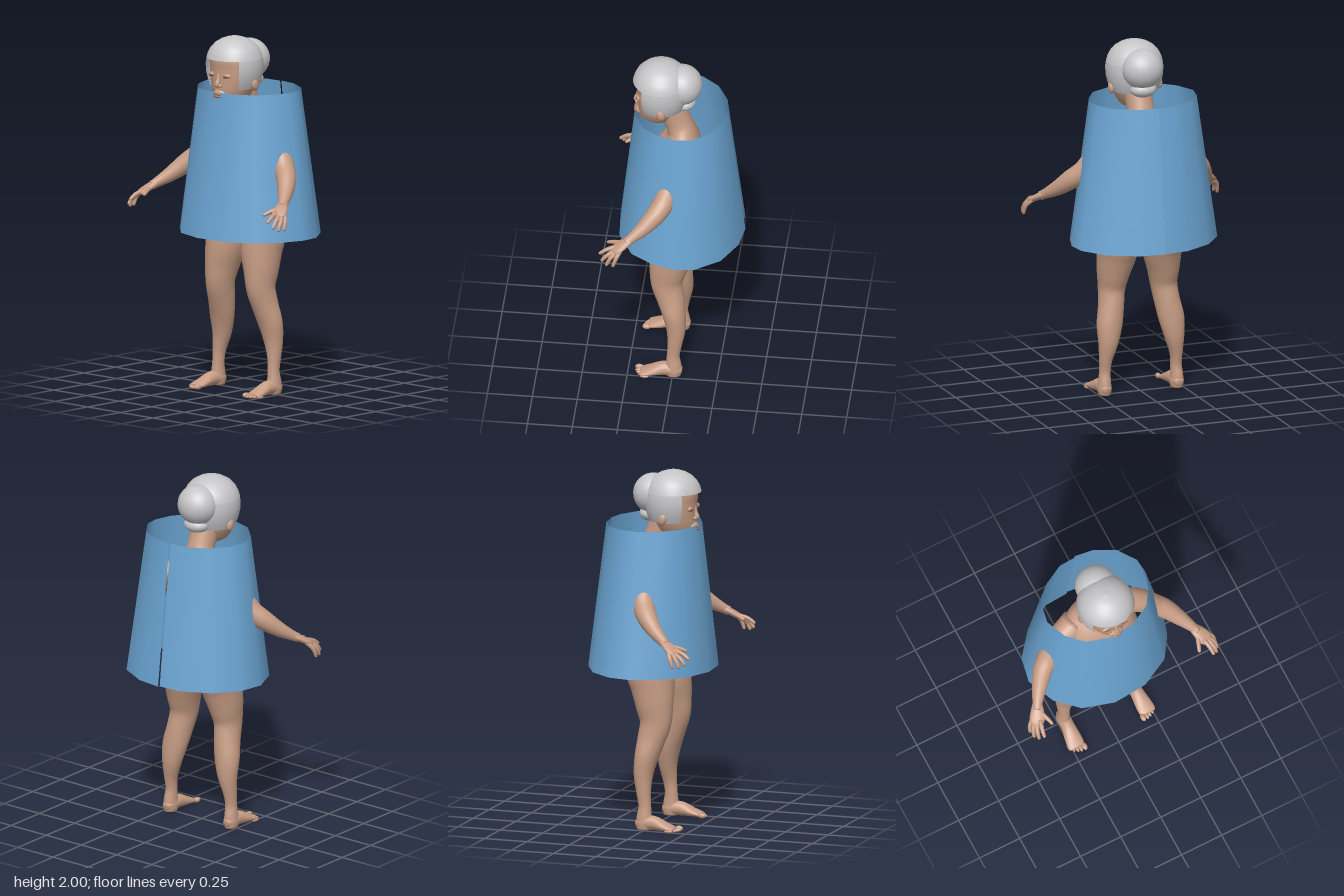
import * as THREE from 'three';

const mat = (name, color, side = THREE.FrontSide) => {
  const m = new THREE.MeshStandardMaterial({ color, side });
  m.name = name;
  return m;
};

// Smooth closed limb through points [x, y, z, halfWidth, halfDepth]; ref steers the section
function limb(points, ref, sides = 20, perSpan = 4) {
  const path = new THREE.CatmullRomCurve3(points.map(p => new THREE.Vector3(p[0], p[1], p[2])));
  const size = new THREE.CatmullRomCurve3(points.map(p => new THREE.Vector3(p[3], p[4] ?? p[3], 0)), false, 'catmullrom');
  const n = (points.length - 1) * perSpan;
  const pos = [], idx = [];
  for (let i = 0; i <= n; i++) {
    const c = path.getPoint(i / n), t = path.getTangent(i / n), r = size.getPoint(i / n);
    const s = new THREE.Vector3().crossVectors(t, ref).normalize();
    const d = new THREE.Vector3().crossVectors(s, t);
    for (let j = 0; j < sides; j++) {
      const a = j / sides * Math.PI * 2;
      const v = c.clone().addScaledVector(s, Math.cos(a) * Math.max(r.x, 0.001))
        .addScaledVector(d, Math.sin(a) * Math.max(r.y, 0.001));
      pos.push(v.x, v.y, v.z);
    }
  }
  const first = points[0], last = points[points.length - 1];
  pos.push(first[0], first[1], first[2], last[0], last[1], last[2]);
  const p0 = (n + 1) * sides, p1 = p0 + 1;
  for (let j = 0; j < sides; j++) {
    const k = (j + 1) % sides;
    idx.push(p0, j, k, p1, n * sides + k, n * sides + j);
    for (let i = 0; i < n; i++) {
      const a = i * sides + j, b = i * sides + k, c = a + sides, d = b + sides;
      idx.push(a, c, b, b, c, d);
    }
  }
  const g = new THREE.BufferGeometry();
  g.setAttribute('position', new THREE.Float32BufferAttribute(pos, 3));
  g.setIndex(idx);
  g.computeVertexNormals();
  return g;
}

export function createModel() {
  const skin = mat('skin', 0xc69c84);
  const hair = mat('grey hair', 0xc6c6c8, THREE.DoubleSide);
  const cloth = mat('blue cloth', 0x6ca6d4, THREE.DoubleSide);
  const lips = mat('lips', 0xa8705f);
  const eyes = mat('dark eyes', 0x5a4236);
  const Y = new THREE.Vector3(0, 1, 0), Z = new THREE.Vector3(0, 0, 1);

  const model = new THREE.Group();
  model.name = 'robedFigure';
  const add = (name, geo, material) => {
    const m = new THREE.Mesh(geo, material);
    m.name = name;
    model.add(m);
    return m;
  };
  const blob = (name, [x, y, z], [rx, ry, rz], material = skin) => {
    const m = add(name, new THREE.SphereGeometry(1, 24, 16), material);
    m.position.set(x, y, z);
    m.scale.set(rx, ry, rz);
    return m;
  };

  // Torso and neck
  add('torso', limb([
    [0, 0.86, 0, 0.13, 0.1], [0, 0.92, 0, 0.225, 0.135], [0, 1.05, 0.02, 0.23, 0.15],
    [0, 1.2, 0.03, 0.225, 0.15], [0, 1.35, 0.01, 0.21, 0.14], [0, 1.47, -0.03, 0.18, 0.105],
    [0, 1.54, -0.03, 0.115, 0.08], [0, 1.6, -0.01, 0.078, 0.075], [0, 1.72, 0.04, 0.078, 0.08],
  ], Z, 28), skin);

  // Limbs, mirrored left and right
  for (const s of [1, -1]) {
    const side = s > 0 ? 'left' : 'right';
    const flip = pts => pts.map(([x, ...rest]) => [x * s, ...rest]);

    add(side + 'Leg', limb(flip([
      [0.12, 0.98, 0, 0.1, 0.12], [0.13, 0.88, 0, 0.116, 0.136], [0.135, 0.8, 0.015, 0.11, 0.125],
      [0.148, 0.7, 0.03, 0.092, 0.108], [0.155, 0.6, 0.04, 0.075, 0.09], [0.167, 0.5, 0.018, 0.072, 0.078],
      [0.185, 0.4, -0.005, 0.073, 0.065], [0.197, 0.3, -0.017, 0.057, 0.053], [0.21, 0.2, -0.01, 0.037, 0.04],
      [0.212, 0.13, -0.003, 0.032, 0.036], [0.215, 0.07, -0.005, 0.036, 0.044],
      [0.215, 0.03, -0.005, 0.039, 0.047], [0.215, 0.003, -0.005, 0.034, 0.042],
    ]), Z), skin);
    blob(side + 'Buttock', [0.11 * s, 0.92, -0.05], [0.105, 0.11, 0.095]);
    blob(side + 'Breast', [0.11 * s, 1.27, 0.11], [0.09, 0.09, 0.07]);

    // Foot with five toes
    add(side + 'Foot', limb(flip([
      [0.215, 0.033, -0.052, 0.02, 0.02], [0.215, 0.038, -0.02, 0.038, 0.037], [0.215, 0.042, 0.05, 0.039, 0.04],
      [0.219, 0.026, 0.12, 0.047, 0.025], [0.221, 0.017, 0.16, 0.048, 0.016], [0.221, 0.014, 0.178, 0.042, 0.011],
    ]), Y), skin);
    for (let i = 0; i < 5; i++) {
      const r = i ? 0.0105 - i * 0.0005 : 0.015;
      blob(side + 'Toe', [(i ? 0.188 + i * 0.0185 : 0.183) * s, r, 0.188 - i * i * 0.0022], [r, r, 0.024]);
    }

    // Arm, palm and fingers
    add(side + 'Arm', limb(flip([
      [0.13, 1.44, -0.03, 0.075], [0.24, 1.385, 0, 0.068], [0.33, 1.285, 0.035, 0.06],
      [0.385, 1.235, 0.075, 0.055], [0.44, 1.175, 0.14, 0.042], [0.485, 1.13, 0.205, 0.028], [0.5, 1.115, 0.23, 0.026],
    ]), Y), skin);
    add(side + 'Palm', limb(flip([
      [0.483, 1.132, 0.2, 0.026, 0.022], [0.504, 1.11, 0.24, 0.038, 0.02],
      [0.522, 1.088, 0.275, 0.043, 0.017], [0.533, 1.074, 0.3, 0.03, 0.01],
    ]), Y), skin);
    const fingers = [
      [[0.495, 1.11, 0.24], [0.473, 1.095, 0.295], [0.459, 1.08, 0.333]],
      [[0.51, 1.09, 0.285], [0.523, 1.075, 0.335], [0.528, 1.05, 0.372]],
      [[0.53, 1.08, 0.285], [0.55, 1.052, 0.332], [0.553, 1.02, 0.358]],
      [[0.54, 1.08, 0.275], [0.566, 1.047, 0.31], [0.57, 1.005, 0.33]],
      [[0.54, 1.09, 0.255], [0.57, 1.052, 0.277], [0.577, 1.005, 0.293]],
    ];
    for (const [a, b, c] of fingers) {
      const tip = c.map((v, i) => v + (c[i] - b[i]) * 0.12);
      add(side + 'Finger', limb(flip([[...a, 0.014], [...b, 0.012], [...c, 0.009], [...tip, 0.003]]), Y, 10, 3), skin);
    }

    // Ear and eye
    blob(side + 'Ear', [0.143 * s, 1.742, 0.075], [0.017, 0.034, 0.024]).rotation.x = 0.25;
    blob(side + 'EyeLid', [0.055 * s, 1.795, 0.207], [0.028, 0.014, 0.012]);
    blob(side + 'Eye', [0.055 * s, 1.788, 0.215], [0.02, 0.005, 0.006], eyes);
    blob(side + 'Nostril', [0.016 * s, 1.737, 0.221], [0.012, 0.01, 0.011]);
  }

  // Head and face
  add('head', limb([
    [0, 1.615, 0.135, 0.035, 0.045], [0, 1.64, 0.13, 0.075, 0.085], [0, 1.69, 0.115, 0.108, 0.107],
    [0, 1.75, 0.1, 0.13, 0.122], [0, 1.82, 0.09, 0.138, 0.132], [0, 1.89, 0.088, 0.132, 0.135],
    [0, 1.95, 0.085, 0.09, 0.095],
  ], Z, 28), skin);
  add('nose', limb([
    [0, 1.805, 0.21, 0.011], [0, 1.77, 0.218, 0.012], [0, 1.742, 0.226, 0.015], [0, 1.73, 0.222, 0.008],
  ], Z, 14), skin);
  blob('mouthArea', [0, 1.685, 0.203], [0.045, 0.032, 0.029]);
  blob('upperLip', [0, 1.69, 0.228], [0.032, 0.006, 0.01], lips);
  blob('lowerLip', [0, 1.677, 0.229], [0.027, 0.007, 0.01], lips);

  // Hair: a full crown, then sides and back with the face left open
  const crown = [[0.157, 1.88], [0.15, 1.905], [0.135, 1.935], [0.108, 1.964], [0.075, 1.984], [0.04, 1.996], [0, 2]];
  const sides = [[0.132, 1.718], [0.148, 1.755], [0.159, 1.8], [0.162, 1.845], [0.157, 1.88]];
  const lathe = (pts, ...arc) => new THREE.LatheGeometry(pts.map(p => new THREE.Vector2(...p)), 40, ...arc);
  const open = 0.92;
  add('hairCrown', lathe(crown), hair).position.z = 0.087;
  add('hairSides', lathe(sides, open, Math.PI * 2 - 2 * open), hair).position.z = 0.087;
  blob('hairBun', [0, 1.86, -0.03], [0.117, 0.113, 0.113], hair);
  blob('hairNape', [0, 1.748, -0.045], [0.075, 0.045, 0.062], hair);

  // Robe: open flared tube with a seam at the back
  const hem = [
    [0.002, -0.382], [0.15, -0.362], [0.31, -0.278], [0.408, -0.14], [0.42, -0.03], [0.38, 0.1], [0.3, 0.22], [0.135, 0.305],
    [-0.06, 0.32], [-0.24, 0.265], [-0.36, 0.15], [-0.428, -0.01], [-0.4, -0.15], [-0.295, -0.28], [-0.135, -0.365], [-0.002, -0.373],
  ];
  const pos = [], idx = [];
  hem.forEach(([x, z], i) => {
    pos.push(x, 0.885, z, x * 0.73, 1.7, (z + 0.025) * 0.735 - 0.022);
    const a = i * 2;
    if (i < hem.length - 1) idx.push(a, a + 1, a + 2, a + 2, a + 1, a + 3);
  });
  const robe = new THREE.BufferGeometry();
  robe.setAttribute('position', new THREE.Float32BufferAttribute(pos, 3));
  robe.setIndex(idx);
  robe.computeVertexNormals();
  add('robe', robe, cloth);

  return model;
}
